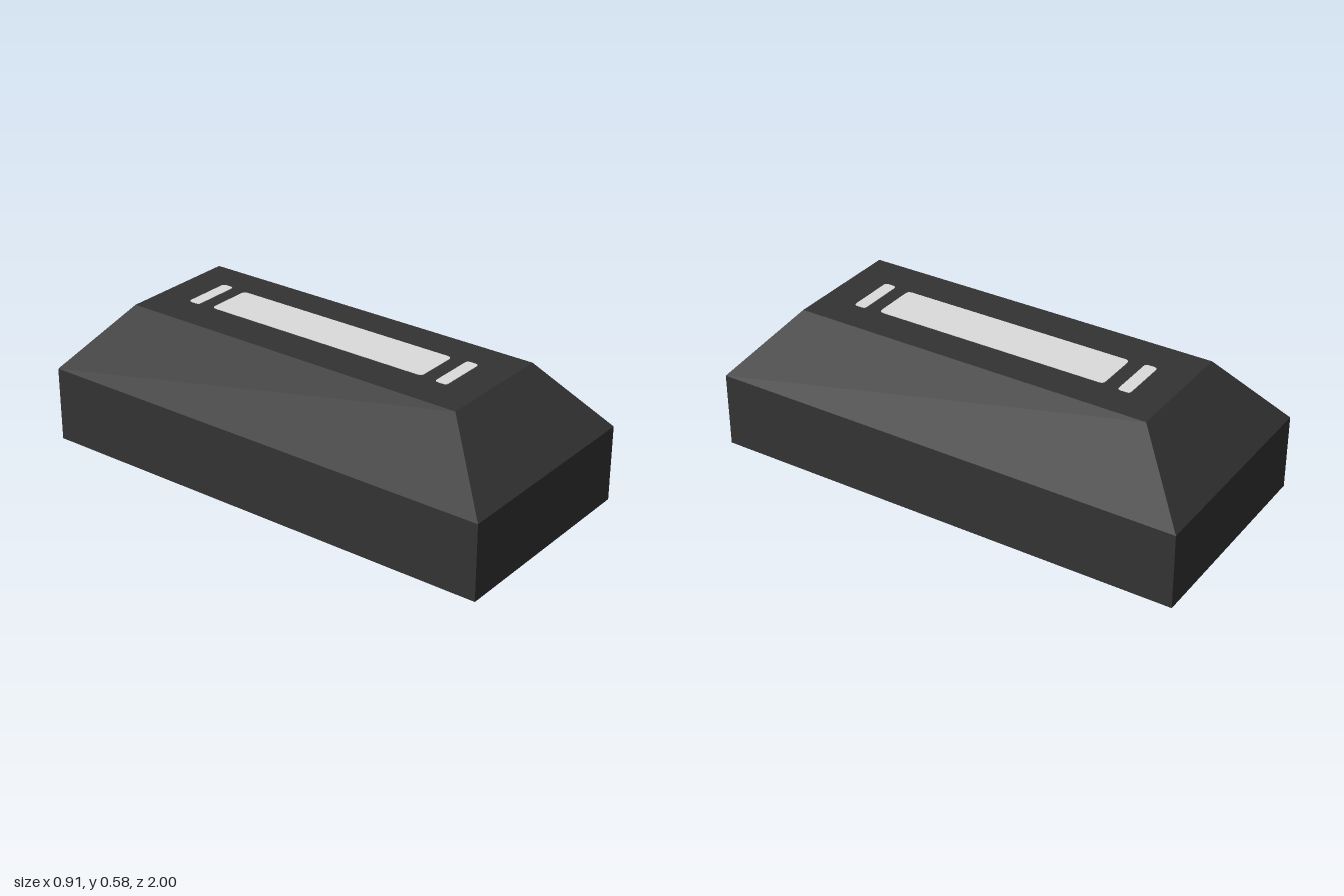
import * as THREE from 'three';

const HALF_W = 0.457, HALF_L = 1, SHOULDER = 0.312, HEIGHT = 0.583;
const TOP_W = 0.251, TOP_L = 0.757;

// Straight-sided block whose upper half tapers to a smaller flat top
function bodyGeometry() {
  const box = new THREE.BoxGeometry(2, 2, 2, 1, 2, 1);
  const p = box.attributes.position;
  for (let i = 0; i < p.count; i++) {
    const top = p.getY(i) > 0.5, bottom = p.getY(i) < -0.5;
    p.setXYZ(i,
      Math.sign(p.getX(i)) * (top ? TOP_W : HALF_W),
      top ? HEIGHT : bottom ? 0 : SHOULDER,
      Math.sign(p.getZ(i)) * (top ? TOP_L : HALF_L));
  }
  const flat = box.toNonIndexed();
  flat.computeVertexNormals();
  return flat;
}

// Thin plate with rounded corners, lying flat
function plateGeometry(w, l, r) {
  const x = w / 2, y = l / 2;
  const s = new THREE.Shape();
  s.moveTo(-x + r, -y);
  s.lineTo(x - r, -y).quadraticCurveTo(x, -y, x, -y + r);
  s.lineTo(x, y - r).quadraticCurveTo(x, y, x - r, y);
  s.lineTo(-x + r, y).quadraticCurveTo(-x, y, -x, y - r);
  s.lineTo(-x, -y + r).quadraticCurveTo(-x, -y, -x + r, -y);
  return new THREE.ExtrudeGeometry(s, { depth: 0.002, bevelEnabled: false, curveSegments: 4 })
    .rotateX(-Math.PI / 2);
}

export function createModel() {
  const group = new THREE.Group();
  group.name = 'taperedBlock';

  const charcoal = new THREE.MeshStandardMaterial({ name: 'charcoal', color: 0x333333 });
  const paleGrey = new THREE.MeshStandardMaterial({ name: 'paleGrey', color: 0xdcdcdc });

  const add = (name, geometry, material, x = 0, y = 0, z = 0) => {
    const mesh = new THREE.Mesh(geometry, material);
    mesh.name = name;
    mesh.position.set(x, y, z);
    group.add(mesh);
  };

  add('body', bodyGeometry(), charcoal);

  // Pale panel on the flat top with a short bar at each end
  add('topPanel', plateGeometry(0.195, 1.0, 0.02), paleGrey, 0.008, HEIGHT);
  for (const [name, side] of [['frontBar', 1], ['backBar', -1]]) {
    add(name, plateGeometry(0.21, 0.052, 0.015), paleGrey, 0.008, HEIGHT, side * 0.588);
  }
  return group;
}
